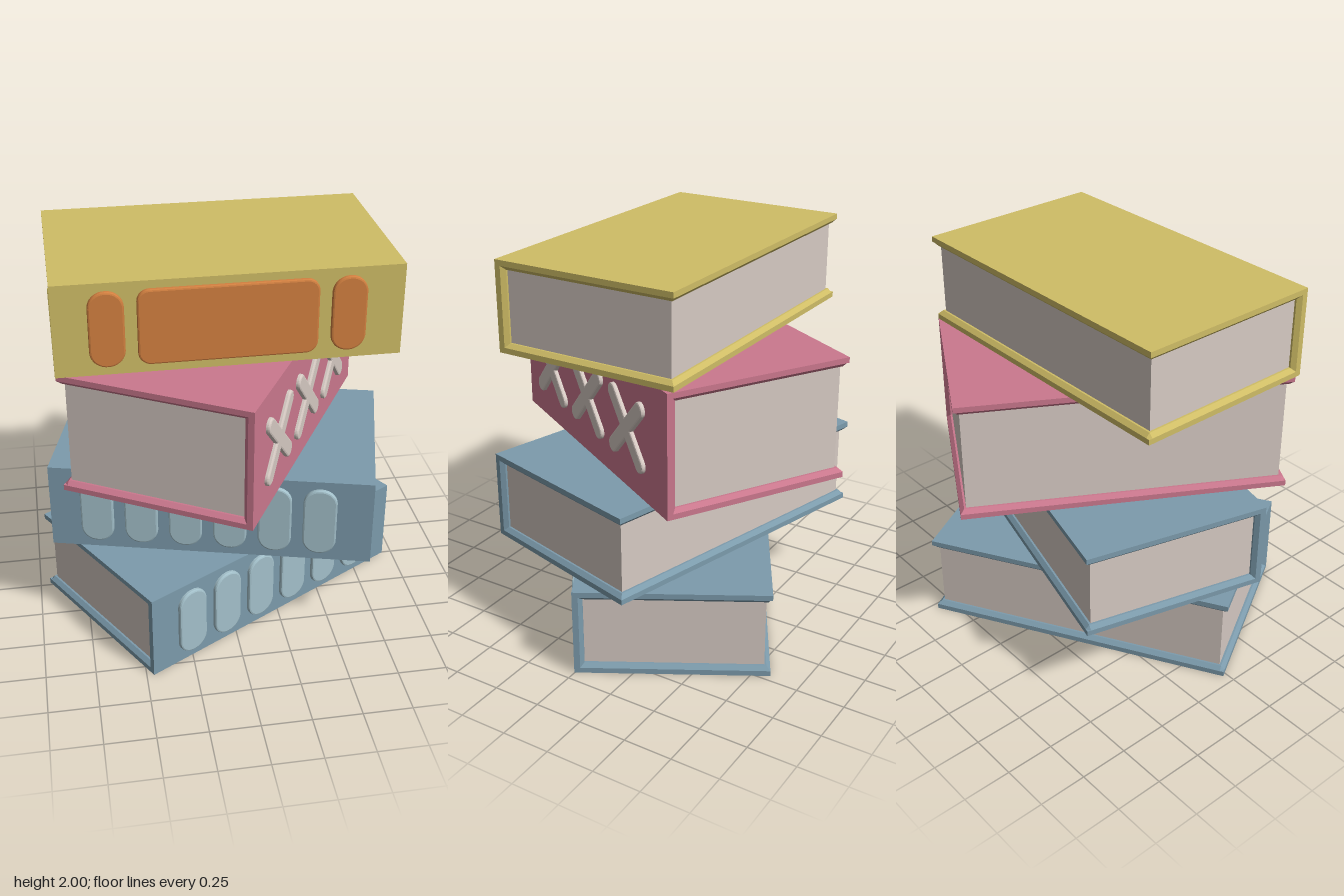
import * as THREE from 'three';

const mat = (name, color) => Object.assign(new THREE.MeshStandardMaterial({ color }), { name });

const LENGTH = 1.63, DEPTH = 0.97;      // cover footprint
const BOARD = 0.048, SPINE = 0.05;      // cover thicknesses
const CHAMFER = 0.02, INSET = 0.03;     // inner lip, page margin

function addMesh(group, name, geometry, material) {
  const mesh = new THREE.Mesh(geometry, material);
  mesh.name = name;
  group.add(mesh);
  return mesh;
}

// C-shaped cover (two boards and a spine) with its inner edges chamfered
function coverGeometry(h) {
  const d = DEPTH / 2, t = BOARD, c = CHAMFER;
  const shape = new THREE.Shape([
    [-d, 0], [d, 0], [d, t - c], [d - c, t], [-d + SPINE, t],
    [-d + SPINE, h - t], [d - c, h - t], [d, h - t + c], [d, h], [-d, h],
  ].map(([x, y]) => new THREE.Vector2(x, y)));
  const geo = new THREE.ExtrudeGeometry(shape, { depth: LENGTH, steps: 3, bevelEnabled: false });
  const p = geo.attributes.position;
  const near = (a, b) => Math.abs(a - b) < 1e-4;
  for (let i = 0; i < p.count; i++) {
    let x = p.getX(i), y = p.getY(i);
    const layer = Math.round(p.getZ(i) / LENGTH * 3);
    if (layer === 0 || layer === 3) {
      // open the inner outline at both ends
      if (near(x, -d + SPINE)) x -= c;
      if (near(y, t)) y -= c;
      else if (near(y, h - t)) y += c;
    }
    p.setXYZ(i, x, y, [0, c, LENGTH - c, LENGTH][layer] - LENGTH / 2);
  }
  geo.rotateY(Math.PI / 2);
  geo.computeVertexNormals();
  return geo;
}

// raised ornament standing about 0.02 off the spine
function reliefGeometry(shape) {
  return new THREE.ExtrudeGeometry(shape, {
    depth: 0.012, bevelThickness: 0.009, bevelSize: 0.009, bevelOffset: -0.009,
    bevelSegments: 2, curveSegments: 8,
  });
}

function roundedPanel(w, h, r) {
  const s = new THREE.Shape(), x = w / 2 - r, y = h / 2 - r;
  s.absarc(x, y, r, 0, Math.PI / 2);
  s.absarc(-x, y, r, Math.PI / 2, Math.PI);
  s.absarc(-x, -y, r, Math.PI, Math.PI * 1.5);
  s.absarc(x, -y, r, Math.PI * 1.5, Math.PI * 2);
  return s;
}

// four round-ended arms on the diagonals
function crossShape(reach, r) {
  const s = new THREE.Shape();
  for (let k = 0; k < 4; k++) {
    const a = Math.PI / 4 + k * Math.PI / 2, b = a + Math.PI / 4;
    s.absarc(Math.cos(a) * reach, Math.sin(a) * reach, r, a - Math.PI / 2, a + Math.PI / 2);
    s.lineTo(Math.cos(b) * r * Math.SQRT2, Math.sin(b) * r * Math.SQRT2);
  }
  return s;
}

function makeBook(name, { y, h, x, z, turn, cover, pages, ornaments, ornamentMat }) {
  const book = new THREE.Group();
  book.name = name;
  addMesh(book, 'cover', coverGeometry(h), cover);

  // page block tucked between the boards
  const pageDepth = DEPTH - SPINE - INSET;
  addMesh(book, 'pages',
    new THREE.BoxGeometry(LENGTH - 2 * INSET, h - 2 * BOARD, pageDepth), pages)
    .position.set(0, h / 2, DEPTH / 2 - SPINE - pageDepth / 2);

  for (const { at, shape } of ornaments) {
    addMesh(book, 'spineOrnament', reliefGeometry(shape), ornamentMat)
      .position.set(at, h / 2 + 0.003, DEPTH / 2);
  }
  book.position.set(x, y, z);
  book.rotation.y = THREE.MathUtils.degToRad(turn);
  return book;
}

export function createModel() {
  const blue = mat('blue cover', 0x7c9bac);
  const paleBlue = mat('pale blue ornament', 0xa3c0ca);
  const pink = mat('pink cover', 0xcb788e);
  const yellow = mat('yellow cover', 0xcfbd66);
  const orange = mat('orange ornament', 0xd28040);
  const paper = mat('paper', 0xd6cac3);

  const ovals = Array.from({ length: 6 }, (_, i) => ({
    at: -0.01 + (i - 2.5) * 0.225, shape: roundedPanel(0.168, 0.372, 0.08),
  }));
  const crosses = [-0.48, -0.03, 0.42].map((at) => ({ at, shape: crossShape(0.197, 0.04) }));
  const panels = [[-0.57, 0.166, 0.08], [-0.01, 0.84, 0.06], [0.553, 0.166, 0.08]]
    .map(([at, w, r]) => ({ at, shape: roundedPanel(w, 0.372, r) }));

  const stack = new THREE.Group();
  stack.name = 'bookStack';
  stack.add(
    makeBook('bottomBook', { y: 0, h: 0.46, x: 0, z: -0.01, turn: 30,
      cover: blue, pages: paper, ornaments: ovals, ornamentMat: paleBlue }),
    makeBook('secondBook', { y: 0.46, h: 0.46, x: 0.002, z: -0.01, turn: -15,
      cover: blue, pages: paper, ornaments: ovals, ornamentMat: paleBlue }),
    makeBook('thirdBook', { y: 0.92, h: 0.625, x: -0.01, z: 0, turn: 60,
      cover: pink, pages: paper, ornaments: crosses, ornamentMat: paper }),
    makeBook('topBook', { y: 1.545, h: 0.455, x: -0.025, z: 0.005, turn: 0,
      cover: yellow, pages: paper, ornaments: panels, ornamentMat: orange }),
  );
  return stack;
}
